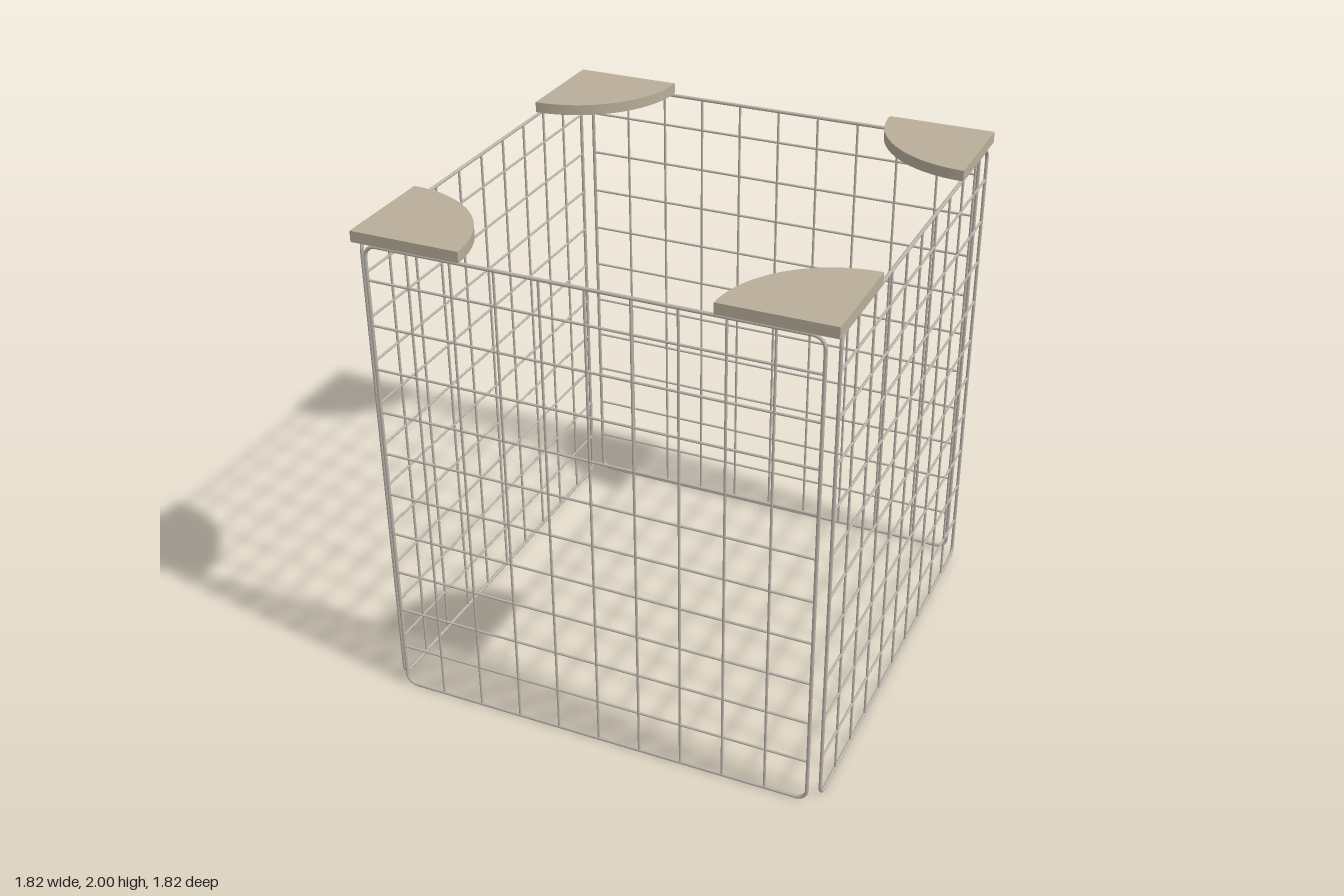
import * as THREE from 'three';
import { toCreasedNormals } from 'three/addons/utils/BufferGeometryUtils.js';

const HALF = 0.859;              // half width of a panel, to the frame's centre line
const BOTTOM = 0.007, TOP = 1.95;
const BEND = 0.045;              // corner bend radius
const FRAME_R = 0.007, WIRE_R = 0.005;
const PANEL_Z = 0.898;
const EDGE = 0.908, CORNER_R = 0.433, THICK = 0.043;

export function createModel() {
  const wireMat = new THREE.MeshStandardMaterial({ color: 0xbab5ab });
  wireMat.name = 'wire grey';
  const boardMat = new THREE.MeshStandardMaterial({ color: 0xb9ae99 });
  boardMat.name = 'board taupe';

  const add = (parent, name, geometry, material, x = 0, y = 0, z = 0) => {
    const mesh = new THREE.Mesh(geometry, material);
    mesh.name = name;
    mesh.position.set(x, y, z);
    parent.add(mesh);
    return mesh;
  };

  const midY = (BOTTOM + TOP) / 2, halfH = (TOP - BOTTOM) / 2;
  const rod = (r, length) => new THREE.CylinderGeometry(r, r, length, 10);
  const upright = rod(FRAME_R, 2 * (halfH - BEND));
  const rail = rod(FRAME_R, 2 * (HALF - BEND)).rotateZ(Math.PI / 2);
  const bend = new THREE.TorusGeometry(BEND, FRAME_R, 10, 10, Math.PI / 2);
  const verticalWire = rod(WIRE_R, 2 * halfH);
  const horizontalWire = rod(WIRE_R, 2 * HALF).rotateZ(Math.PI / 2);

  // One wire panel: a bent frame filled with a grid
  function wirePanel() {
    const panel = new THREE.Group();
    for (const s of [-1, 1]) {
      add(panel, 'frameUpright', upright, wireMat, s * HALF, midY);
      add(panel, 'frameRail', rail, wireMat, 0, midY + s * halfH);
    }
    [[1, 1], [-1, 1], [-1, -1], [1, -1]].forEach(([sx, sy], i) => {
      const corner = add(panel, 'frameBend', bend, wireMat,
        sx * (HALF - BEND), midY + sy * (halfH - BEND));
      corner.rotation.z = i * Math.PI / 2;
    });
    for (let i = -4; i <= 4; i++)
      add(panel, 'verticalWire', verticalWire, wireMat, i * 0.1725, midY);
    for (let i = 0; i < 10; i++)
      add(panel, 'horizontalWire', horizontalWire, wireMat, 0, 0.19 + i * 0.1804);
    return panel;
  }

  // Quarter-round board with its square corner at the outer edge
  const quarter = new THREE.Shape();
  quarter.moveTo(0, 0);
  quarter.lineTo(CORNER_R, 0);
  quarter.absarc(0, 0, CORNER_R, 0, Math.PI / 2);
  quarter.lineTo(0, 0);
  const board = toCreasedNormals(
    new THREE.ExtrudeGeometry(quarter, { depth: THICK, bevelEnabled: false, curveSegments: 32 }), 0.5);
  board.rotateX(Math.PI / 2).translate(-EDGE, 2, -EDGE);

  // Four sides and four corners
  const model = new THREE.Group();
  model.name = 'wireEnclosure';
  ['front', 'left', 'back', 'right'].forEach((side, i) => {
    const pivot = new THREE.Group();
    pivot.name = side + 'Panel';
    pivot.rotation.y = i * Math.PI / 2;
    const panel = wirePanel();
    panel.name = 'wireGrid';
    panel.position.z = PANEL_Z;
    pivot.add(panel);
    model.add(pivot);
    add(model, 'cornerBoard', board, boardMat).rotation.y = i * Math.PI / 2;
  });
  return model;
}
